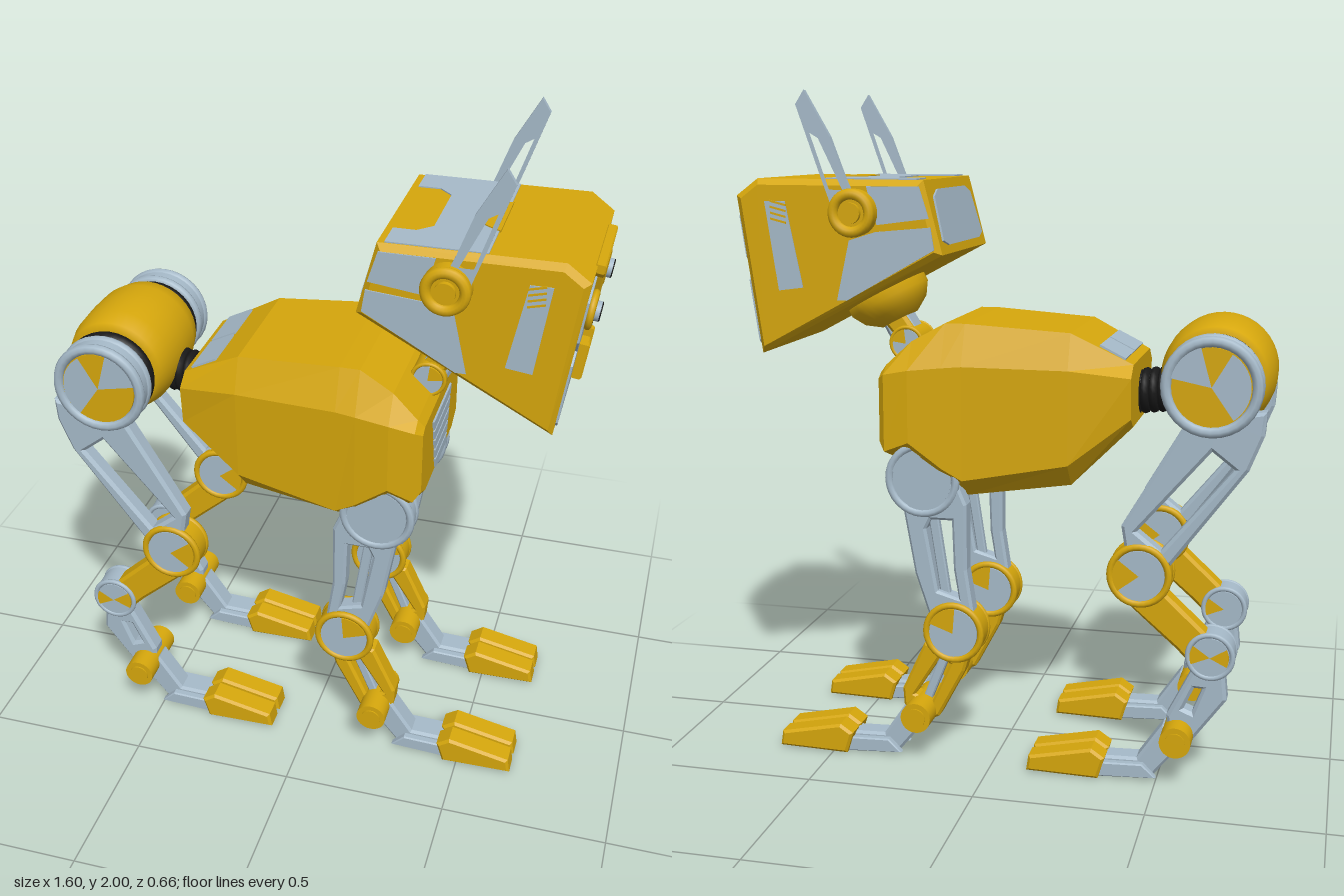
import * as THREE from 'three';

const mat = (name, color) => Object.assign(new THREE.MeshStandardMaterial({ color }), { name });

export function createModel() {
  const yellow = mat('yellow', 0xd6a70c), grey = mat('blue grey', 0xa6bac9), black = mat('black', 0x181818);
  const root = new THREE.Group();
  root.name = 'robotAnimal';

  const add = (parent, name, geo, m) => {
    const mesh = new THREE.Mesh(geo, m);
    mesh.name = name;
    parent.add(mesh);
    return mesh;
  };
  const group = (name, parent = root) => {
    const g = new THREE.Group();
    g.name = name;
    parent.add(g);
    return g;
  };
  // Bevelled slab from an x-y outline, centred on z
  const plate = (parent, name, pts, m, z, depth, bevel = 0, hole = null) => {
    const shape = new THREE.Shape(pts.map(p => new THREE.Vector2(...p)));
    if (hole) shape.holes.push(new THREE.Path(hole.map(p => new THREE.Vector2(...p))));
    const geo = new THREE.ExtrudeGeometry(shape, {
      depth: depth - 2 * bevel, bevelEnabled: bevel > 0, bevelSize: bevel,
      bevelThickness: bevel, bevelOffset: -bevel, bevelSegments: 1,
    });
    geo.translate(0, 0, z - depth / 2 + bevel);
    return add(parent, name, geo, m);
  };
  // Disc or sector whose axis is z
  const disc = (parent, name, x, y, z, r, depth, m, start = 0, len = Math.PI * 2) => {
    const geo = new THREE.CylinderGeometry(r, r, depth, 32, 1, false, start + Math.PI / 2, len).rotateX(Math.PI / 2);
    add(parent, name, geo, m).position.set(x, y, z);
  };
  // Round joint with a rim, an inset face and a coloured wedge on both sides
  const joint = (parent, name, x, y, z, r, depth, rim, face, wedge, angle, len = 1.3) => {
    const g = group(name, parent);
    disc(g, 'hub', x, y, z, r * 0.95, depth - 0.02, rim);
    for (const s of [-1, 1]) {
      disc(g, 'face', x, y, z + s * (depth / 2 - 0.01), r * 0.78, 0.012, face);
      disc(g, 'wedge', x, y, z + s * (depth / 2 - 0.006), r * 0.8, 0.012, wedge, angle - len / 2, len);
      const ring = new THREE.TorusGeometry(r * 0.89, r * 0.11, 8, 32);
      add(g, 'rim', ring, rim).position.set(x, y, z + s * (depth / 2 - 0.01));
    }
  };
  // Frame on a surface: u runs toward -z, v along the given x-y direction
  const frame = (name, x, y, vx, vy) => {
    const g = group(name), l = Math.hypot(vx, vy);
    vx /= l; vy /= l;
    g.quaternion.setFromRotationMatrix(new THREE.Matrix4().makeBasis(
      new THREE.Vector3(0, 0, -1), new THREE.Vector3(vx, vy, 0), new THREE.Vector3(vy, -vx, 0)));
    g.position.set(x, y, 0);
    return g;
  };
  const mirror = half => [...half, ...half.map(([u, v]) => [-u, v]).reverse()];
  const rect = (u, v, w, h) => [[u - w / 2, v - h / 2], [u + w / 2, v - h / 2], [u + w / 2, v + h / 2], [u - w / 2, v + h / 2]];

  // Faceted chest: x, then (half width, y) for top, upper side, lower side, bottom
  const sections = [
    [-0.40, [0.17, 1.225], [0.215, 1.19], [0.205, 1.07], [0.16, 1.04]],
    [-0.22, [0.20, 1.315], [0.24, 1.21], [0.235, 0.93], [0.17, 0.86]],
    [0.09, [0.215, 1.335], [0.265, 1.215], [0.262, 0.875], [0.18, 0.815]],
    [0.15, [0.215, 1.335], [0.27, 1.21], [0.27, 0.91], [0.18, 0.83]],
    [0.25, [0.225, 1.28], [0.278, 1.20], [0.278, 0.985], [0.175, 0.87]],
    [0.325, [0.235, 1.21], [0.272, 1.185], [0.272, 0.955], [0.2, 0.93]],
    [0.345, [0.225, 1.185], [0.25, 1.17], [0.25, 0.98], [0.19, 0.95]],
  ].map(([x, ...h]) => mirror(h).map(([z, y]) => [x, y, z]));
  const skin = [], belly = [];
  for (let i = 0; i < sections.length - 1; i++) {
    const a = sections[i], b = sections[i + 1];
    for (let j = 0; j < 8; j++) {
      const k = (j + 1) % 8;
      (j === 3 && i > 0 && i < 3 ? belly : skin).push(a[j], a[k], b[j], a[k], b[k], b[j]);
    }
  }
  const first = sections[0], last = sections[sections.length - 1];
  for (let j = 1; j < 7; j++) skin.push(first[0], first[j + 1], first[j], last[0], last[j], last[j + 1]);
  for (const [name, tris, m] of [['body', skin, yellow], ['bellyPanel', belly, grey]]) {
    const geo = new THREE.BufferGeometry();
    geo.setAttribute('position', new THREE.Float32BufferAttribute(tris.flat(), 3));
    geo.computeVertexNormals();
    add(root, name, geo, m);
  }
  // Chest grille and rear back panels
  const grille = frame('chestGrille', 0.345, 0.96, 0, 1);
  for (let i = 0; i < 5; i++) {
    const v = i * 0.038, w = 0.073 + v * 0.27;
    plate(grille, 'grilleSlat', [[-w, v], [w, v], [w + 0.008, v + 0.03], [-w - 0.008, v + 0.03]], grey, 0.002, 0.008);
  }
  const back = frame('backPanels', -0.40, 1.225, -0.18, -0.09);
  for (const s of [-1, 1]) plate(back, 'backPanel', rect(s * 0.088, -0.07, 0.165, 0.085), grey, 0.002, 0.008);

  // Hip barrel with dark end bearings and bellows to the chest
  const barrel = [[0, -0.165], [0.13, -0.165], [0.15, -0.15], [0.165, -0.09], [0.168, 0], [0.165, 0.09], [0.15, 0.15], [0.13, 0.165], [0, 0.165]];
  const lathe = new THREE.LatheGeometry(barrel.map(p => new THREE.Vector2(...p)), 40).rotateX(Math.PI / 2);
  add(root, 'hipBarrel', lathe, yellow).position.set(-0.635, 1.19, 0);
  disc(root, 'hipBearing', -0.635, 1.185, 0, 0.125, 0.43, black);
  for (const s of [-1, 1]) {
    const ring = add(root, 'hipBearingRing', new THREE.TorusGeometry(0.115, 0.025, 10, 32), black);
    ring.position.set(-0.635, 1.185, s * 0.18);
  }
  const core = new THREE.CylinderGeometry(0.055, 0.055, 0.18, 20).rotateZ(Math.PI / 2);
  add(root, 'bellowsCore', core, black).position.set(-0.45, 1.13, 0);
  for (let i = 0; i < 6; i++) {
    const ring = new THREE.TorusGeometry(0.056, 0.014, 8, 24).rotateY(Math.PI / 2);
    add(root, 'bellowsRing', ring, black).position.set(-0.52 + i * 0.026, 1.135 - i * 0.003, 0);
  }

  // Foot shared by front and rear legs, placed by its ankle
  const foot = (parent, x, z) => {
    const g = group('foot', parent);
    g.position.set(x, 0, z);
    plate(g, 'footBar', [[-0.02, 0.12], [0.07, 0.01], [0.3, 0.01], [0.3, 0.055], [0.12, 0.06], [0.045, 0.17]], grey, 0, 0.07, 0.008);
    disc(g, 'anklePin', 0, 0.145, 0, 0.046, 0.2, yellow);
    for (const s of [-1, 1]) {
      plate(g, 'toe', [[0.21, 0.065], [0.25, 0.092], [0.44, 0.052], [0.447, 0.005], [0.23, 0]], yellow, s * 0.041, 0.074, 0.008);
      plate(g, 'toeLink', [[0.06, 0.01], [0.24, 0], [0.24, 0.045], [0.1, 0.05]], grey, s * 0.045, 0.025, 0.004);
      disc(g, 'ankleCap', 0, 0.145, s * 0.1, 0.03, 0.008, yellow);
    }
  };

  for (const s of [-1, 1]) {
    const side = s > 0 ? 'left' : 'right';
    // Rear leg
    const rear = group(side + 'RearLeg');
    joint(rear, 'hipJoint', -0.635, 1.185, s * 0.243, 0.145, 0.075, grey, yellow, grey, 0.75, 1.1);
    disc(rear, 'hipWedge', -0.635, 1.185, s * 0.276, 0.11, 0.008, grey, 2.1, 2.0);
    plate(rear, 'thigh',
      [[-0.79, 1.12], [-0.785, 1.05], [-0.745, 0.95], [-0.53, 0.66], [-0.40, 0.68], [-0.385, 0.77], [-0.56, 1.07], [-0.66, 1.10]],
      grey, s * 0.24, 0.06, 0.01, [[-0.705, 0.95], [-0.64, 1.0], [-0.43, 0.755], [-0.5, 0.70]]);
    joint(rear, 'kneeJoint', -0.44, 0.625, s * 0.23, 0.096, 0.095, yellow, grey, yellow, 0);
    plate(rear, 'shin', [[-0.50, 0.59], [-0.655, 0.445], [-0.60, 0.36], [-0.55, 0.41], [-0.39, 0.55]], yellow, s * 0.23, 0.07, 0.01);
    joint(rear, 'hockJoint', -0.65, 0.395, s * 0.225, 0.073, 0.1, grey, grey, yellow, 0.1, 1.0);
    disc(rear, 'hockMark', -0.65, 0.395, s * 0.274, 0.055, 0.008, yellow, 2.6, 1.0);
    plate(rear, 'shank', [[-0.69, 0.36], [-0.70, 0.26], [-0.59, 0.11], [-0.53, 0.13], [-0.525, 0.2], [-0.56, 0.27], [-0.60, 0.35]],
      grey, s * 0.225, 0.065, 0.01, [[-0.63, 0.29], [-0.605, 0.29], [-0.575, 0.225], [-0.60, 0.215]]);
    foot(rear, -0.56, s * 0.225);

    // Front leg
    const front = group(side + 'FrontLeg');
    joint(front, 'shoulderJoint', 0.215, 0.87, s * 0.222, 0.115, 0.075, grey, grey, grey, 0.9);
    plate(front, 'upperLeg',
      [[0.11, 0.87], [0.08, 0.80], [0.08, 0.60], [0.06, 0.47], [0.10, 0.40], [0.19, 0.43], [0.24, 0.58], [0.275, 0.78], [0.22, 0.85]],
      grey, s * 0.225, 0.06, 0.008, [[0.125, 0.75], [0.19, 0.75], [0.205, 0.72], [0.17, 0.53], [0.105, 0.51], [0.12, 0.6]]);
    plate(front, 'upperLegStrut', [[0.175, 0.77], [0.205, 0.77], [0.16, 0.47], [0.13, 0.47]], grey, s * 0.22, 0.025, 0.004);
    joint(front, 'kneeJoint', 0.12, 0.405, s * 0.22, 0.095, 0.1, yellow, grey, yellow, 1.0);
    plate(front, 'lowerLeg', [[0.07, 0.35], [0.09, 0.28], [0.17, 0.13], [0.23, 0.10], [0.28, 0.14], [0.285, 0.21], [0.215, 0.36], [0.14, 0.38]],
      yellow, s * 0.22, 0.065, 0.008, [[0.135, 0.30], [0.165, 0.32], [0.245, 0.195], [0.195, 0.17]]);
    plate(front, 'lowerLegCore', [[0.14, 0.32], [0.17, 0.32], [0.225, 0.18], [0.20, 0.17]], grey, s * 0.22, 0.03, 0.004);
    foot(front, 0.225, s * 0.22);
  }

  // Neck
  const neck = group('neck');
  plate(neck, 'neckStrut', [[0.25, 1.22], [0.33, 1.18], [0.43, 1.36], [0.37, 1.42]], grey, 0, 0.09, 0.01);
  plate(neck, 'neckCover', [[0.30, 1.30], [0.34, 1.25], [0.40, 1.32], [0.35, 1.37]], yellow, 0, 0.11, 0.01);
  joint(neck, 'neckJoint', 0.315, 1.25, 0, 0.055, 0.15, yellow, grey, yellow, 0.8);
  const bowl = [[0, -0.10], [0.06, -0.10], [0.105, -0.07], [0.13, -0.03], [0.13, 0.02], [0, 0.02]];
  const bowlMesh = add(neck, 'neckBowl', new THREE.LatheGeometry(bowl.map(p => new THREE.Vector2(...p)), 32), yellow);
  bowlMesh.position.set(0.40, 1.405, 0);
  bowlMesh.rotation.z = -0.48;

  // Head shell
  plate(root, 'head', [[0.145, 1.535], [0.20, 1.748], [0.705, 1.75], [0.772, 1.70], [0.705, 1.235]], yellow, 0, 0.54, 0.018);

  // Crown panel: v runs backward from x = 0.5
  const crown = frame('crownPanels', 0.5, 1.748, -1, 0);
  plate(crown, 'crownPanel', mirror([[0.25, 0], [0.25, 0.28], [0.155, 0.28], [0.155, 0.2], [0.12, 0.17], [0.06, 0.17]].slice(0, 3)
    .concat([[0.155, 0.215], [0.115, 0.175]])), grey, 0.001, 0.006);
  plate(crown, 'crownNotch', mirror([[0.105, -0.005], [0.08, 0.035], [0.045, 0.072]]), yellow, 0.004, 0.006);
  // Back of head
  const nape = frame('napePanels', 0.2, 1.748, -0.055, -0.213);
  plate(nape, 'napePanel', mirror([[0.15, 0.03], [0.2, 0.05], [0.22, 0.18], [0.17, 0.195]]), grey, 0.002, 0.008);

  // Face: v runs up from the chin
  const face = frame('face', 0.705, 1.235, 0.067, 0.465);
  plate(face, 'facePanel', mirror([[0.23, 0.02], [0.25, 0.04], [0.25, 0.22], [0.215, 0.25], [0.245, 0.29], [0.245, 0.41],
    [0.2, 0.43], [0.115, 0.43], [0.06, 0.29]]), grey, 0.002, 0.008);
  plate(face, 'brow', mirror([[0.055, 0.31], [0.095, 0.42], [0.14, 0.45], [0.14, 0.475]]), yellow, 0.008, 0.03, 0.004);
  plate(face, 'nose', rect(0, 0.257, 0.095, 0.026), black, 0.01, 0.03, 0.004);
  plate(face, 'mouthBlock', rect(0, 0.14, 0.05, 0.075), yellow, 0.015, 0.035, 0.005, rect(0, 0.14, 0.024, 0.045));
  for (const s of [-1, 1]) {
    plate(face, 'mouthBar', rect(s * 0.054, 0.14, 0.022, 0.11), yellow, 0.015, 0.04, 0.005);
    const eye = group('eye', face);
    eye.position.set(s * 0.142, 0.345, 0);
    disc(eye, 'eyeSocket', 0, 0, 0.008, 0.045, 0.02, grey);
    add(eye, 'eyeRing', new THREE.TorusGeometry(0.046, 0.011, 8, 28), yellow).position.z = 0.014;
    disc(eye, 'eyeLens', 0, 0, 0.02, 0.028, 0.035, grey);
    add(eye, 'eyeRim', new THREE.TorusGeometry(0.024, 0.004, 8, 24), black).position.z = 0.037;
  }

  // Cheeks and ears
  for (const s of [-1, 1]) {
    const z = s * 0.271;
    plate(root, 'templePanel', [[0.18, 1.64], [0.208, 1.73], [0.365, 1.73], [0.335, 1.62]], grey, z, 0.006);
    plate(root, 'cheekPanel', [[0.165, 1.55], [0.175, 1.615], [0.34, 1.60], [0.42, 1.575], [0.46, 1.40], [0.43, 1.40]], grey, z, 0.006);
    plate(root, 'cheekVent', [[0.565, 1.435], [0.64, 1.425], [0.678, 1.685], [0.615, 1.685]], grey, z, 0.006);
    for (let i = 0; i < 4; i++) {
      const y = 1.62 + i * 0.017;
      plate(root, 'ventSlot', [[0.612, y], [0.66, y + 0.012], [0.66, y + 0.018], [0.612, y + 0.006]], yellow, s * 0.274, 0.004);
    }
    const ear = group(s > 0 ? 'leftEar' : 'rightEar');
    plate(ear, 'earBlade', [[0.38, 1.66], [0.42, 1.75], [0.465, 1.87], [0.54, 2.0], [0.566, 1.96], [0.50, 1.77], [0.46, 1.66]],
      grey, s * 0.284, 0.016, 0, [[0.43, 1.72], [0.50, 1.865], [0.525, 1.88], [0.47, 1.72]]);
    disc(ear, 'earBase', 0.40, 1.655, s * 0.285, 0.068, 0.05, yellow);
    add(ear, 'earRim', new THREE.TorusGeometry(0.054, 0.016, 10, 32), yellow).position.set(0.40, 1.655, s * 0.308);
    disc(ear, 'earCap', 0.40, 1.655, s * 0.312, 0.03, 0.024, yellow);
  }
  return root;
}
